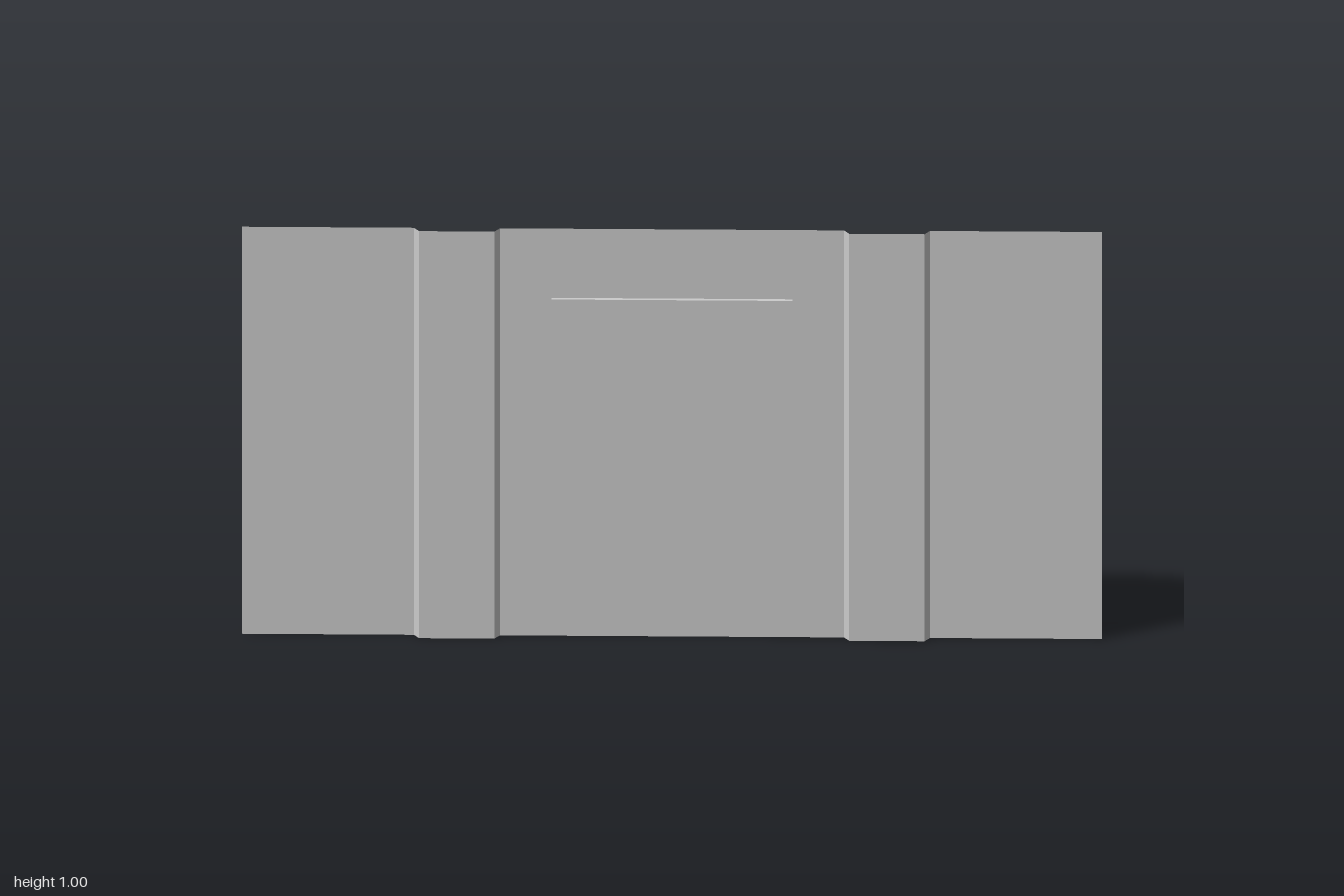
import * as THREE from 'three';

const D = 0.012; // half depth of the corrugation
const material = new THREE.MeshStandardMaterial({ color: 0xcccccc, flatShading: true, side: THREE.DoubleSide });

function add(group, name, geometry) {
  const mesh = new THREE.Mesh(geometry, material);
  mesh.name = name;
  group.add(mesh);
  return mesh;
}

// Upright sheet following a plan path of [x, z] points, each running left to right
function sheet(path, y0, y1) {
  const pos = [];
  for (let i = 0; i < path.length - 1; i++) {
    const [ax, az] = path[i], [bx, bz] = path[i + 1];
    pos.push(ax, y0, az, bx, y0, bz, bx, y1, bz);
    pos.push(ax, y0, az, bx, y1, bz, ax, y1, az);
  }
  const g = new THREE.BufferGeometry();
  g.setAttribute('position', new THREE.Float32BufferAttribute(pos, 3));
  g.computeVertexNormals();
  return g;
}

export function createModel() {
  const group = new THREE.Group();

  // Folded side sheets, each with one raised rib
  const fold = [[0.4, -D], [0.4125, D], [0.5875, D], [0.6, -D], [1, -D]];
  add(group, 'leftFoldedSheet', sheet(fold, 0, 1));
  add(group, 'rightFoldedSheet', sheet(fold.map(([x, z]) => [-x, z]).reverse(), 0, 1));

  // Flat middle sheet with a rectangular opening
  const w = 0.28, y0 = 0.55, y1 = 0.83;
  const shape = new THREE.Shape([[-0.4, 0], [0.4, 0], [0.4, 1], [-0.4, 1]].map(p => new THREE.Vector2(...p)));
  shape.holes.push(new THREE.Path([[-w, y0], [-w, y1], [w, y1], [w, y0]].map(p => new THREE.Vector2(...p))));
  add(group, 'middleSheet', new THREE.ShapeGeometry(shape)).position.z = -D;

  // Pressed panel: raised face with side walls, open at the back
  add(group, 'pressedPanel', sheet([[-w, -D], [-w, 0], [w, 0], [w, -D]], y0, y1));
  for (const [name, y, turn] of [['panelTopEdge', y1, -1], ['panelBottomEdge', y0, 1]]) {
    const edge = add(group, name, new THREE.PlaneGeometry(2 * w, D));
    edge.rotation.x = turn * Math.PI / 2;
    edge.position.set(0, y, -D / 2);
  }

  return group;
}
